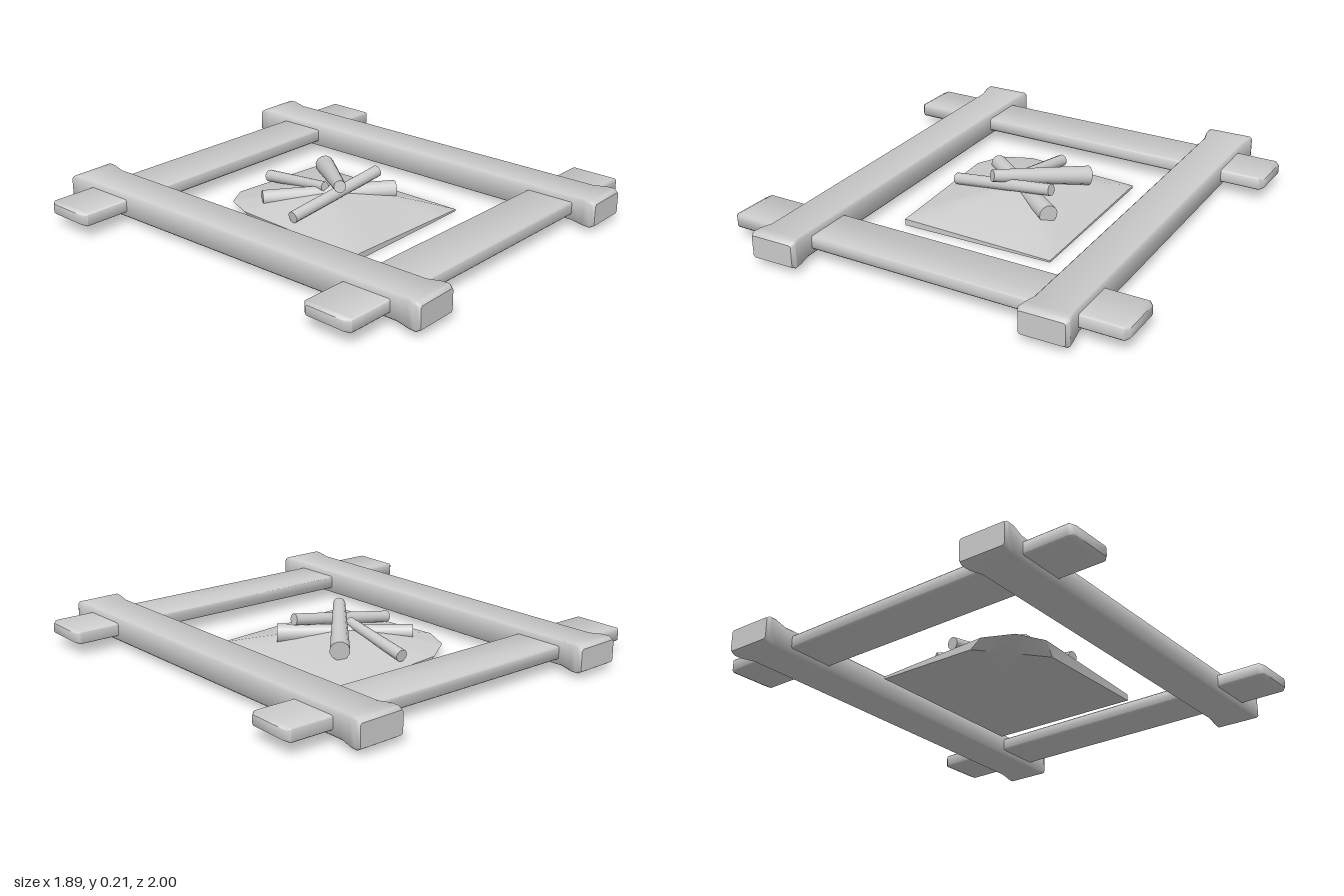
import * as THREE from 'three';
import { toCreasedNormals } from 'three/addons/utils/BufferGeometryUtils.js';

const V = (x, y, z) => new THREE.Vector3(x, y, z);
const material = new THREE.MeshStandardMaterial({ color: 0xcccccc });

// Skins a stack of equal-length closed rings and caps both ends
function skin(rings, crease) {
  const n = rings[0].length;
  const out = [];
  const tri = (...points) => points.forEach((p) => out.push(p.x, p.y, p.z));
  const centre = (ring) => ring.reduce((s, p) => s.add(p), V(0, 0, 0)).divideScalar(n);
  const first = rings[0];
  const last = rings[rings.length - 1];
  const c0 = centre(first);
  const c1 = centre(last);
  for (let j = 0; j < n; j++) {
    const k = (j + 1) % n;
    tri(c0, first[k], first[j]);
    for (let i = 0; i < rings.length - 1; i++) {
      const a = rings[i];
      const b = rings[i + 1];
      tri(a[j], a[k], b[k]);
      tri(a[j], b[k], b[j]);
    }
    tri(c1, last[j], last[k]);
  }
  const g = new THREE.BufferGeometry();
  g.setAttribute('position', new THREE.Float32BufferAttribute(out, 3));
  return toCreasedNormals(g, crease);
}

// Timber along z from sections [z, half width, half height], with slightly chamfered edges
function timber(sections, c) {
  return skin(sections.map(([z, w, h]) => [
    [w, -h + c], [w, h - c], [w - c, h], [-w + c, h],
    [-w, h - c], [-w, -h + c], [-w + c, -h], [w - c, -h],
  ].map(([x, y]) => V(x, y, z))), 0.9);
}

// Low heap with a flat bottom, a raised left rim and a broken back corner
function moundGeometry() {
  // [bottom x, bottom z, rim x, rim y, rim z]
  const corners = [
    [0.355, 0.39, 0.355, 0.008, 0.39],
    [0.355, -0.455, 0.355, 0.012, -0.455],
    [-0.13, -0.455, -0.185, 0.04, -0.455],
    [-0.24, -0.33, -0.31, 0.05, -0.38],
    [-0.36, -0.19, -0.37, 0.055, -0.245],
    [-0.37, 0.39, -0.37, 0.03, 0.39],
  ];
  const bottom = [];
  const rim = [];
  const steps = 6;
  corners.forEach((a, i) => {
    const b = corners[(i + 1) % corners.length];
    for (let s = 0; s < steps; s++) {
      const p = a.map((v, k) => THREE.MathUtils.lerp(v, b[k], s / steps));
      bottom.push(V(p[0], 0, p[1]));
      rim.push(V(p[2], p[3], p[4]));
    }
  });
  const peak = V(0, 0.108, -0.08);
  const rings = [bottom];
  for (const t of [1, 0.85, 0.7, 0.55, 0.4, 0.25, 0.1]) {
    rings.push(rim.map((p) => {
      const q = peak.clone().lerp(p, t);
      q.y = p.y + (peak.y - p.y) * (1 - t ** 1.4);
      return q;
    }));
  }
  return skin(rings, 0.6);
}

// Tapered stick between two points
function stickGeometry(a, b, ra, rb) {
  const dir = b.clone().sub(a);
  const g = new THREE.CylinderGeometry(rb, ra, dir.length(), 12);
  g.applyQuaternion(new THREE.Quaternion().setFromUnitVectors(V(0, 1, 0), dir.normalize()));
  const mid = a.clone().add(b).multiplyScalar(0.5);
  return g.translate(mid.x, mid.y, mid.z);
}

export function createModel() {
  const model = new THREE.Group();
  const add = (name, geometry) => {
    const mesh = new THREE.Mesh(geometry, material);
    mesh.name = name;
    model.add(mesh);
    return mesh;
  };

  // Side beams with flared ends
  const beam = timber([
    [-1, 0.107, 0.05], [-0.98, 0.11, 0.062], [-0.945, 0.108, 0.063], [-0.88, 0.096, 0.056],
    [0.88, 0.096, 0.056], [0.945, 0.105, 0.063], [0.98, 0.11, 0.062], [1, 0.1, 0.05],
  ], 0.008);
  add('rightBeam', beam).position.set(-0.62, 0.086, 0);
  add('leftBeam', beam).position.set(0.637, 0.086, 0);

  // Slightly slanted cross planks, passing through the beams
  const plank = timber([
    [-0.943, 0.1, 0.022], [-0.925, 0.118, 0.03], [0.925, 0.116, 0.03], [0.943, 0.1, 0.022],
  ], 0.006);
  for (const [name, z] of [['backPlank', -0.738], ['frontPlank', 0.752]]) {
    const mesh = add(name, plank);
    mesh.position.set(-0.002, 0.086, z);
    mesh.rotation.y = Math.PI / 2 - 0.024;
  }

  // Heap in the middle
  add('mound', moundGeometry());

  // Crossed sticks lying on the heap
  [
    [V(-0.255, 0.085, -0.245), V(0.218, 0.085, 0.143), 0.036, 0.043],
    [V(-0.01, 0.075, -0.43), V(-0.05, 0.13, -0.05), 0.028, 0.022],
    [V(-0.1, 0.178, 0.082), V(0.208, 0.105, -0.275), 0.028, 0.045],
    [V(-0.33, 0.085, 0.008), V(0.187, 0.163, 0.06), 0.027, 0.027],
  ].forEach((s, i) => add('stick' + (i + 1), stickGeometry(...s)));

  return model;
}
